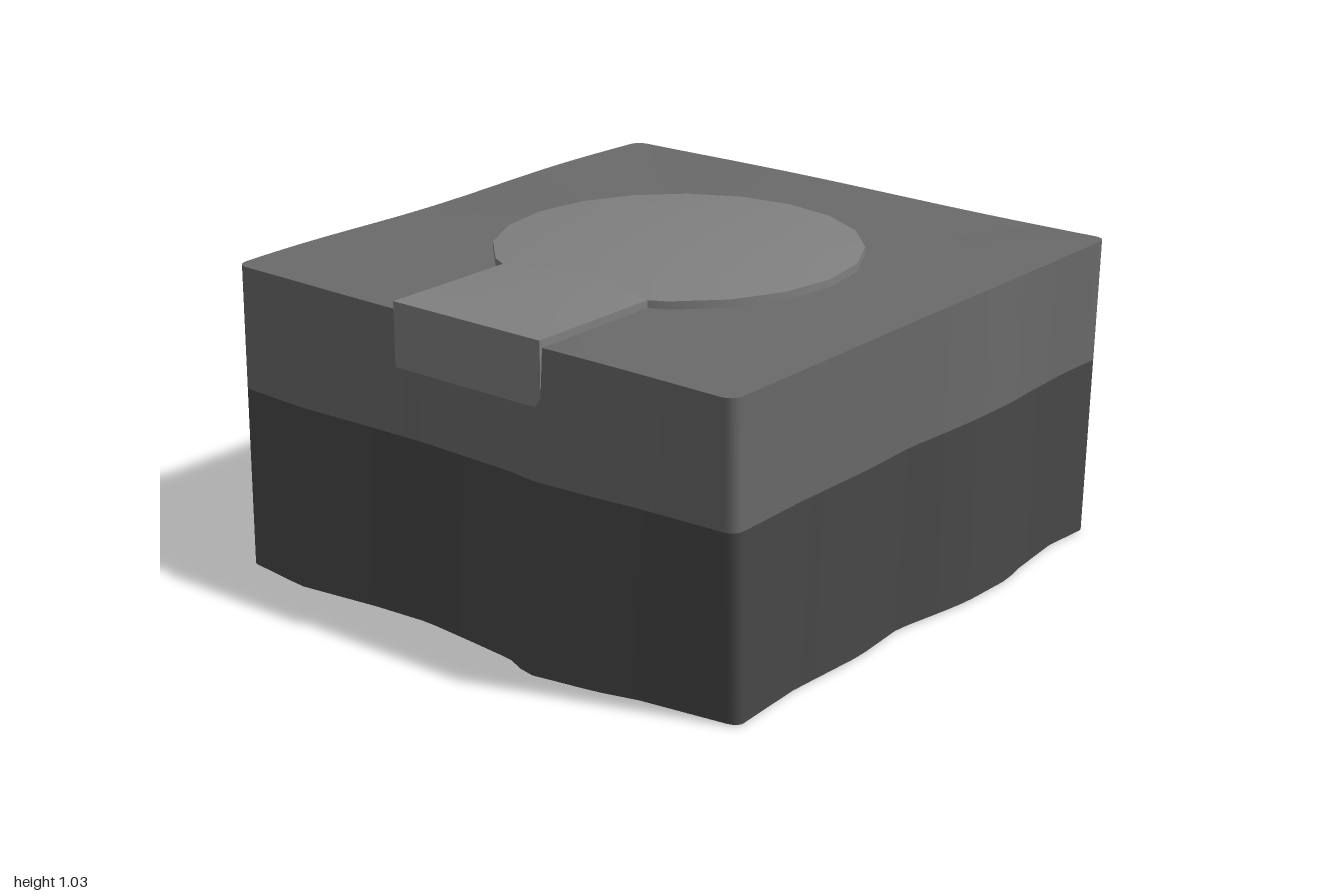
import * as THREE from 'three';
import { toCreasedNormals } from 'three/addons/utils/BufferGeometryUtils.js';

const X0 = -0.93, X1 = 0.965, Z0 = -0.94, Z1 = 0.955;
const TOP = 0.975, BAND = 0.585, CORNER = 0.04;

// Outward drift of each wall's foot: [position along the wall, offset]
const drift = {
  left: [[-0.94, 0.01], [-0.84, 0.02], [-0.68, 0.04], [-0.4, 0], [-0.2, -0.015], [-0.02, 0.003], [0.17, 0.025], [0.27, 0.07], [0.5, 0.035], [0.63, 0], [0.955, -0.05]],
  right: [[-0.94, -0.015], [-0.7, -0.03], [-0.42, 0], [-0.1, 0.035], [0.05, 0], [0.22, -0.015], [0.4, 0.007], [0.6, -0.01], [0.955, -0.02]],
  back: [[-0.93, 0], [-0.65, -0.015], [-0.4, 0], [-0.08, 0.04], [0.12, 0.032], [0.5, 0.005], [0.71, 0.03], [0.965, 0]],
  front: [[-0.93, -0.01], [-0.6, -0.03], [-0.3, -0.015], [-0.08, -0.035], [0.12, 0], [0.22, 0.014], [0.44, 0.018], [0.52, 0], [0.75, -0.025], [0.965, -0.01]],
};

function sample(table, t) {
  if (t <= table[0][0]) return table[0][1];
  for (let i = 1; i < table.length; i++) {
    const [a, va] = table[i - 1], [b, vb] = table[i];
    if (t <= b) return va + (vb - va) * (t - a) / (b - a);
  }
  return table[table.length - 1][1];
}

// Rounded square outline, subdivided along its sides
function outline() {
  const centres = [[X1, Z1, -1, -1], [X0, Z1, 1, -1], [X0, Z0, 1, 1], [X1, Z0, -1, 1]];
  const arcs = centres.map(([x, z, sx, sz], k) => [0, 1, 2, 3, 4].map(i => {
    const a = (k + i / 4) * Math.PI / 2;
    return new THREE.Vector2(x + CORNER * (sx + Math.cos(a)), z + CORNER * (sz + Math.sin(a)));
  }));
  const points = [];
  arcs.forEach((arc, k) => {
    points.push(...arc);
    const next = arcs[(k + 1) % 4][0];
    for (let i = 1; i < 32; i++) points.push(arc[4].clone().lerp(next, i / 32));
  });
  return points;
}

// Outline point at a given height: walls drift linearly towards the foot
function wallPoint({ x, y: z }, height) {
  const f = 1 - height / TOP;
  const u = 2 * (x - X0) / (X1 - X0) - 1, v = 2 * (z - Z0) / (Z1 - Z0) - 1;
  const dx = Math.sign(u) * u ** 8 * sample(u < 0 ? drift.left : drift.right, z);
  const dz = Math.sign(v) * v ** 8 * sample(v < 0 ? drift.back : drift.front, x);
  const ripple = 0.005 * Math.sin(5 * x + 2) * Math.cos(4 * z + 1);
  return [x + dx * f, height + ripple, z + dz * f];
}

function build(positions, index) {
  const g = new THREE.BufferGeometry();
  g.setAttribute('position', new THREE.Float32BufferAttribute(positions, 3));
  g.setIndex(index);
  return toCreasedNormals(g, 0.5);
}

function wallBand(points, low, high) {
  const n = points.length, index = [];
  const positions = [low, high].flatMap(h => points.flatMap(p => wallPoint(p, h)));
  for (let i = 0; i < n; i++) {
    const j = (i + 1) % n;
    index.push(i, n + i, j, j, n + i, n + j);
  }
  return build(positions, index);
}

function topSheet(points) {
  const n = points.length, index = [];
  const positions = points.flatMap(p => wallPoint(p, TOP));
  positions.push(0, TOP, 0);
  for (let i = 0; i < n; i++) index.push(i, n, (i + 1) % n);
  return build(positions, index);
}

export function createModel() {
  const group = new THREE.Group();
  const material = color => new THREE.MeshStandardMaterial({ color, side: THREE.DoubleSide });
  const ground = material(0x6a6a6a), soil = material(0x484848), paving = material(0x808080);
  const add = (name, geometry, mat) => {
    const mesh = new THREE.Mesh(geometry, mat);
    mesh.name = name;
    group.add(mesh);
    return mesh;
  };

  // Open-bottomed block of ground
  const points = outline();
  add('groundTop', topSheet(points), ground);
  add('upperWall', wallBand(points, BAND, TOP), ground);
  add('lowerWall', wallBand(points, 0.006, BAND), soil);

  // Round, slightly domed clearing
  const profile = [[0, 0.92], [0.57, 0.92], [0.57, 1.0], [0.46, 1.012], [0.3, 1.026], [0, 1.03]]
    .map(([r, y]) => new THREE.Vector2(r, y));
  const clearing = add('clearing', toCreasedNormals(new THREE.LatheGeometry(profile, 20), 0.5), paving);
  clearing.position.set(0.015, 0, 0.01);

  // Path from the clearing to the edge, gently crowned
  const pathShape = new THREE.BoxGeometry(0.54, 0.08, 0.56, 8, 1, 8);
  pathShape.translate(-0.67, 0.96, 0.01);
  const p = pathShape.attributes.position;
  for (let i = 0; i < p.count; i++) {
    if (p.getY(i) < 0.99) continue;
    const along = (p.getX(i) + 0.94) / 0.54, across = (p.getZ(i) - 0.01) / 0.28;
    p.setY(i, 1.0 + 0.014 * along * (1 - across * across));
  }
  pathShape.computeVertexNormals();
  add('path', pathShape, paving);

  // Lip of the path hanging over the wall
  const lip = new THREE.BoxGeometry(0.025, 0.13, 0.56);
  lip.translate(-0.9275, 0.865, 0.01);
  add('pathLip', lip, paving);

  return group;
}
